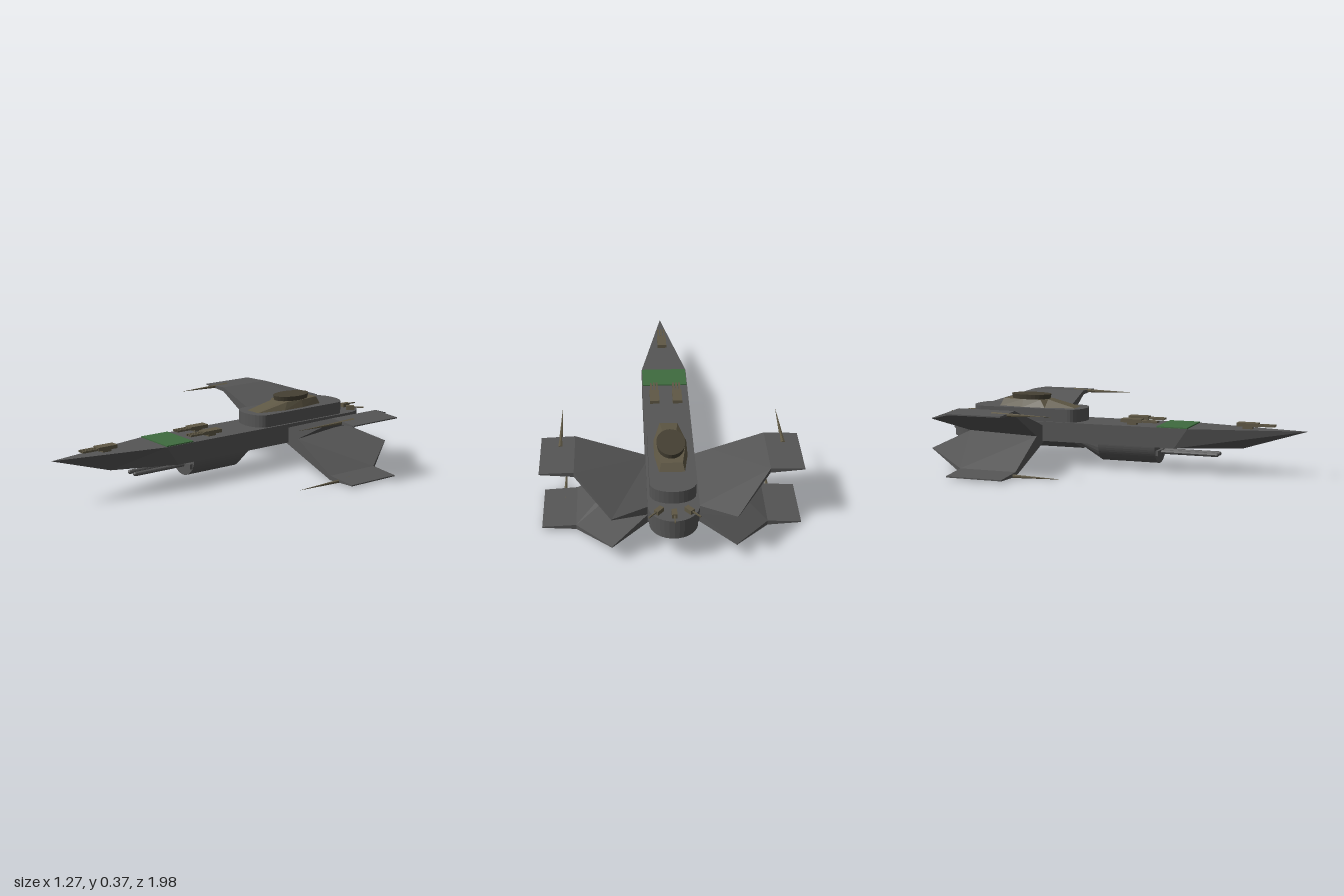
import * as THREE from 'three';

const paint = (color) => new THREE.MeshStandardMaterial({ color, flatShading: true });
const hullMat = paint(0x555555);
const bronzeMat = paint(0x5f5845);
const domeMat = paint(0x454033);
const greenMat = paint(0x3f6b3f);

// Closed solid between two matching rings of [x, y, z] points, seen as outlines from above.
function loft(top, bottom) {
  const flat = (ring) => ring.map(([x, , z]) => new THREE.Vector2(x, -z));
  if (THREE.ShapeUtils.isClockWise(flat(top))) {
    top = [...top].reverse();
    bottom = [...bottom].reverse();
  }
  const pos = [];
  const tri = (a, b, c) => pos.push(...a, ...b, ...c);
  for (const [a, b, c] of THREE.ShapeUtils.triangulateShape(flat(top), [])) tri(top[a], top[b], top[c]);
  for (const [a, b, c] of THREE.ShapeUtils.triangulateShape(flat(bottom), [])) tri(bottom[c], bottom[b], bottom[a]);
  top.forEach((p, i) => {
    const j = (i + 1) % top.length;
    tri(bottom[i], bottom[j], top[j]);
    tri(bottom[i], top[j], p);
  });
  const geo = new THREE.BufferGeometry();
  geo.setAttribute('position', new THREE.Float32BufferAttribute(pos, 3));
  geo.computeVertexNormals();
  return geo;
}

const ringAt = (outline, y) => outline.map(([x, z]) => [x, y, z]);

// Outline points along an elliptical arc, angle 0 = +x, 90 degrees = +z.
function arc(cz, rx, rz, from, to, n) {
  return Array.from({ length: n + 1 }, (_, i) => {
    const a = THREE.MathUtils.degToRad(from + ((to - from) * i) / n);
    return [rx * Math.cos(a), cz + rz * Math.sin(a)];
  });
}

function add(parent, name, geometry, material, x = 0, y = 0, z = 0) {
  const mesh = new THREE.Mesh(geometry, material);
  mesh.name = name;
  mesh.position.set(x, y, z);
  parent.add(mesh);
  return mesh;
}

const box = (w, h, d) => new THREE.BoxGeometry(w, h, d);

// Twin-barrelled deck gun pointing along +z.
function deckGun(name, x, y, z, size = 1) {
  const gun = new THREE.Group();
  gun.name = name;
  add(gun, 'gunMount', box(0.03, 0.015, 0.05), bronzeMat, 0, 0.007, 0);
  add(gun, 'gunHouse', box(0.05, 0.018, 0.11), bronzeMat, 0, 0.022, 0);
  for (const bx of [-0.016, 0, 0.016])
    add(gun, 'gunBarrel', box(0.01, 0.01, 0.09), bronzeMat, bx, 0.02, 0.095);
  gun.position.set(x, y, z);
  gun.scale.setScalar(size);
  return gun;
}

// One wing; sx picks the side, sy the upper (+1) or lower (-1) pair.
function wing(sx, sy, gunX, gunTip) {
  const group = new THREE.Group();
  group.name = (sy > 0 ? 'upper' : 'lower') + (sx > 0 ? 'Left' : 'Right') + 'Wing';
  const midY = 0.168;
  // Each point: x, z, outer height, inner height above the wing plane.
  const inner = [[0.1, -0.395, 0.04, 0], [0.2, -0.395, 0.075, 0], [0.465, -0.395, 0.167, 0.143],
    [0.465, -0.705, 0.167, 0.143], [0.29, -0.96, 0.082, 0.078], [0.12, -0.82, 0.045, 0]];
  const outer = [[0.465, -0.395, 0.167, 0.143], [0.63, -0.395, 0.16, 0.154],
    [0.63, -0.7, 0.16, 0.154], [0.465, -0.705, 0.167, 0.143]];
  const build = (pts) => {
    const far = pts.map(([x, z, h]) => [x * sx, midY + h * sy, z]);
    const near = pts.map(([x, z, , h]) => [x * sx, midY + h * sy, z]);
    return sy > 0 ? loft(far, near) : loft(near, far);
  };
  add(group, 'innerWingPanel', build(inner), hullMat);
  add(group, 'outerWingPanel', build(outer), hullMat);
  // Tapered wing gun
  const length = gunTip + 0.48;
  const spike = new THREE.ConeGeometry(0.012, length, 6).rotateX(Math.PI / 2);
  add(group, 'wingGun', spike, bronzeMat, gunX * sx, midY + 0.158 * sy, gunTip - length / 2);
  return group;
}

export function createModel() {
  const model = new THREE.Group();
  model.name = 'starship';
  const ship = new THREE.Group();
  ship.name = 'ship';
  ship.position.x = -0.03;
  ship.rotation.y = -0.051;
  model.add(ship);

  // Long main hull with a wedge nose undercut beneath
  const deckY = 0.235;
  const hullTop = [[0, 0.99], [0.122, 0.4], [0.122, -0.83], [-0.122, -0.83], [-0.122, 0.4]];
  const hullBottom = [[0, 0.66], [0.122, 0.33], [0.122, -0.83], [-0.122, -0.83], [-0.122, 0.33]];
  add(ship, 'mainHull', loft(ringAt(hullTop, deckY), ringAt(hullBottom, 0.132)), hullMat);

  // Round stepped tail
  add(ship, 'tailDisc', new THREE.CylinderGeometry(0.122, 0.122, 0.065, 32), hullMat, 0, 0.2025, -0.843);
  add(ship, 'tailDiscBase', new THREE.CylinderGeometry(0.115, 0.115, 0.04, 32), hullMat, 0, 0.15, -0.843);

  // Green deck panel
  const panel = [[-0.119, 0.235], [0.119, 0.235], [0.119, 0.398], [-0.119, 0.398]];
  add(ship, 'deckPanel', loft(ringAt(panel, 0.241), ringAt(panel, 0.23)), greenMat);

  // Raised upper deck with bowed ends
  const deck = [...arc(-0.26, 0.11, 0.07, 0, 180, 14), ...arc(-0.76, 0.11, 0.07, 180, 360, 14)];
  add(ship, 'upperDeck', loft(ringAt(deck, 0.302), ringAt(deck, 0.23)), hullMat);

  // Bridge with sloped front windscreen
  const bridgeBase = [[0.045, -0.235], [0.082, -0.4], [0.082, -0.53], [0.062, -0.67],
    [-0.062, -0.67], [-0.082, -0.53], [-0.082, -0.4], [-0.045, -0.235]];
  const bridgeRoof = [[0.032, -0.4], [0.065, -0.43], [0.068, -0.53], [0.052, -0.65],
    [-0.052, -0.65], [-0.068, -0.53], [-0.065, -0.43], [-0.032, -0.4]];
  add(ship, 'bridge', loft(ringAt(bridgeRoof, 0.342), ringAt(bridgeBase, 0.3)), bronzeMat);
  const dome = new THREE.CylinderGeometry(0.07, 0.066, 0.027, 28).scale(1, 1, 1.6);
  add(ship, 'bridgeDome', dome, domeMat, 0, 0.3535, -0.51);

  // Four wings in an X
  ship.add(wing(1, 1, 0.535, -0.105), wing(1, -1, 0.525, -0.125));
  ship.add(wing(-1, 1, 0.55, -0.155), wing(-1, -1, 0.495, -0.125));

  // Half-round belly pod with tapering rear
  const pod = new THREE.CylinderGeometry(0.102, 0.102, 0.31, 28, 1, false, -Math.PI / 2, Math.PI)
    .rotateX(Math.PI / 2);
  pod.rotateZ(0);
  add(ship, 'bellyPod', pod, hullMat, 0, 0.134, 0.065);
  const podTail = new THREE.CylinderGeometry(0.102, 0.03, 0.13, 28).rotateX(Math.PI / 2);
  // Flatten the rear section so its top stays inside the hull
  const p = podTail.attributes.position;
  for (let i = 0; i < p.count; i++) p.setY(i, Math.min(p.getY(i), 0.01));
  podTail.computeVertexNormals();
  add(ship, 'bellyPodTail', podTail, hullMat, 0, 0.134, -0.155);

  // Belly guns
  add(ship, 'bellyGunHousing', box(0.17, 0.027, 0.03), hullMat, 0, 0.094, 0.22);
  for (const x of [-0.025, 0.025]) {
    const barrel = new THREE.CapsuleGeometry(0.011, 0.31, 4, 10).rotateX(Math.PI / 2);
    add(ship, 'bellyGun', barrel, hullMat, x, 0.095, 0.375);
  }

  // Deck guns
  ship.add(deckGun('noseGun', 0, deckY, 0.685));
  for (const sx of [-1, 1]) ship.add(deckGun(sx > 0 ? 'leftDeckGun' : 'rightDeckGun', sx * 0.06, deckY, 0.085));

  // Small guns fanned around the tail
  for (const a of [-1, 0, 1]) {
    const angle = a * 0.7;
    const gun = new THREE.Group();
    gun.name = 'tailGun';
    add(gun, 'tailGunHouse', box(0.025, 0.022, 0.045), bronzeMat, 0, 0.011, 0);
    add(gun, 'tailGunBarrel', box(0.006, 0.006, 0.06), bronzeMat, 0, 0.014, 0.045);
    gun.position.set(Math.sin(angle) * 0.11, deckY, -0.81 - Math.cos(angle) * 0.11);
    gun.rotation.y = Math.PI - angle;
    ship.add(gun);
  }
  return model;
}
